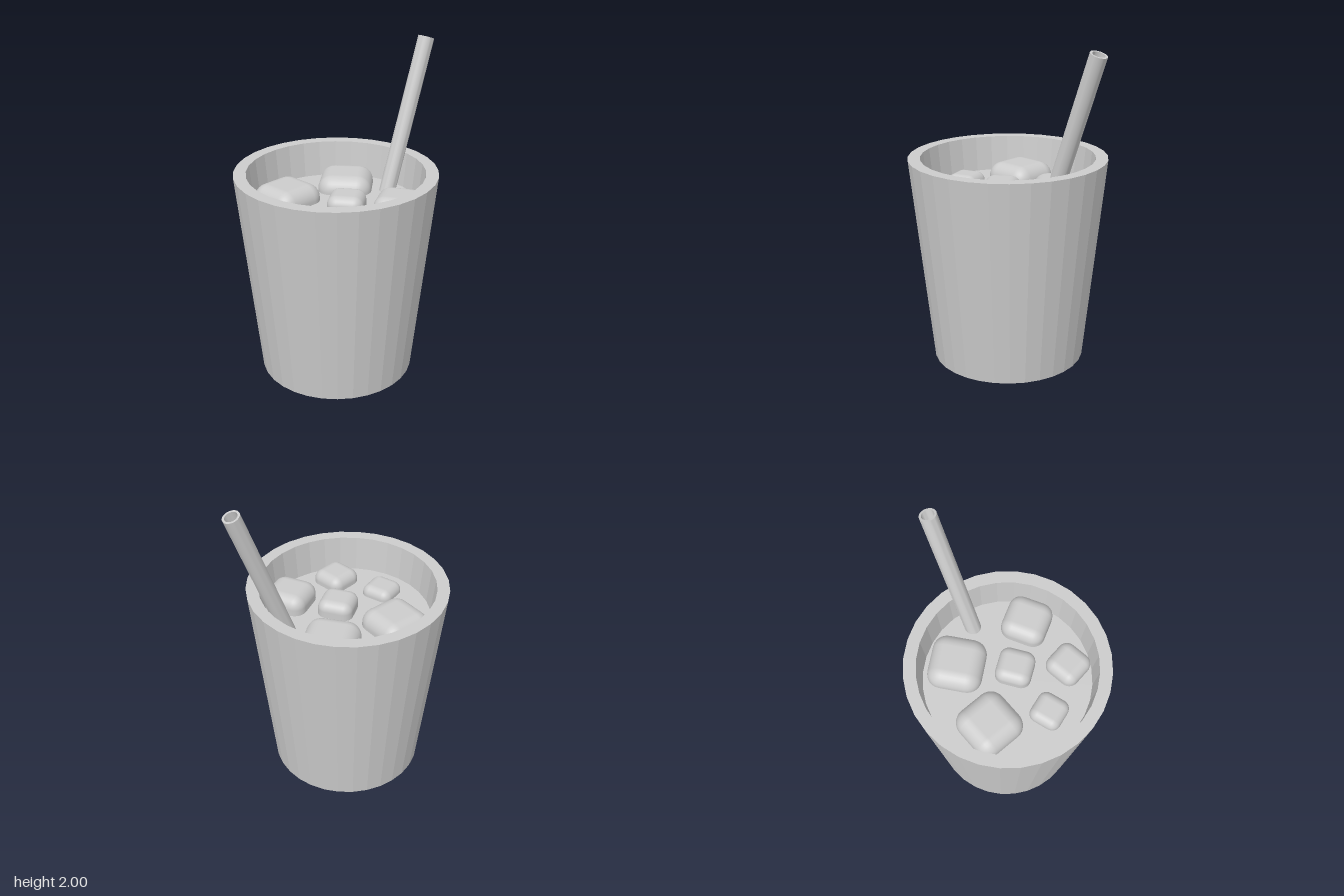
import * as THREE from 'three';
import { toCreasedNormals } from 'three/addons/utils/BufferGeometryUtils.js';
import { RoundedBoxGeometry } from 'three/addons/geometries/RoundedBoxGeometry.js';

const CUP_Z = 0.085;
const LIQUID_Y = 1.07;

const smooth = new THREE.MeshStandardMaterial({ color: 0xcccccc });
const faceted = new THREE.MeshStandardMaterial({ color: 0xcccccc, flatShading: true });

function addPart(parent, name, geometry, material, x, y, z) {
  const mesh = new THREE.Mesh(geometry, material);
  mesh.name = name;
  mesh.position.set(x, y, z);
  parent.add(mesh);
  return mesh;
}

function lathe(profile, sides) {
  return new THREE.LatheGeometry(profile.map(([r, y]) => new THREE.Vector2(r, y)), sides);
}

export function createModel() {
  const model = new THREE.Group();
  model.name = 'icedDrink';

  // Tapered thick-walled cup
  const cup = lathe([[0, 0], [0.475, 0], [0.61, 1.29], [0.535, 1.29], [0.41, 0.1], [0, 0.1]], 32);
  addPart(model, 'cup', cup, faceted, 0, 0, CUP_Z);

  // Liquid filling the cup
  const liquid = lathe([[0, 0.11], [0.411, 0.11], [0.512, LIQUID_Y], [0, LIQUID_Y]], 32);
  addPart(model, 'liquid', liquid, faceted, 0, 0, CUP_Z);

  // Hollow straw leaning over the back of the rim, its origin at the top end
  const length = 1.85;
  const tube = lathe([[0.05, -length], [0.05, 0], [0.037, 0], [0.037, -length], [0.05, -length]], 32);
  const straw = addPart(model, 'straw', toCreasedNormals(tube, 0.6), smooth, 0.06, 1.983, -0.645);
  straw.rotation.x = THREE.MathUtils.degToRad(-20);

  // Floating ice cubes: x, z, size, turn in degrees, centre height above the liquid
  const cubes = [
    [-0.174, -0.18, 0.333, 38.5, -0.065],
    [-0.27, 0.235, 0.333, 0, -0.06],
    [0.326, -0.112, 0.277, 28, -0.025],
    [0.074, 0.07, 0.22, 34, -0.01],
    [0.333, 0.259, 0.225, 8, -0.03],
    [0.052, 0.404, 0.2, 18, -0.035],
  ];
  const ice = new THREE.Group();
  ice.name = 'iceCubes';
  model.add(ice);
  cubes.forEach(([x, z, size, turn, rise], i) => {
    const geometry = new RoundedBoxGeometry(size, size, size, 4, size * 0.27);
    const cube = addPart(ice, `iceCube${i + 1}`, geometry, smooth, x, LIQUID_Y + rise, z);
    cube.rotation.y = THREE.MathUtils.degToRad(turn);
  });

  return model;
}
